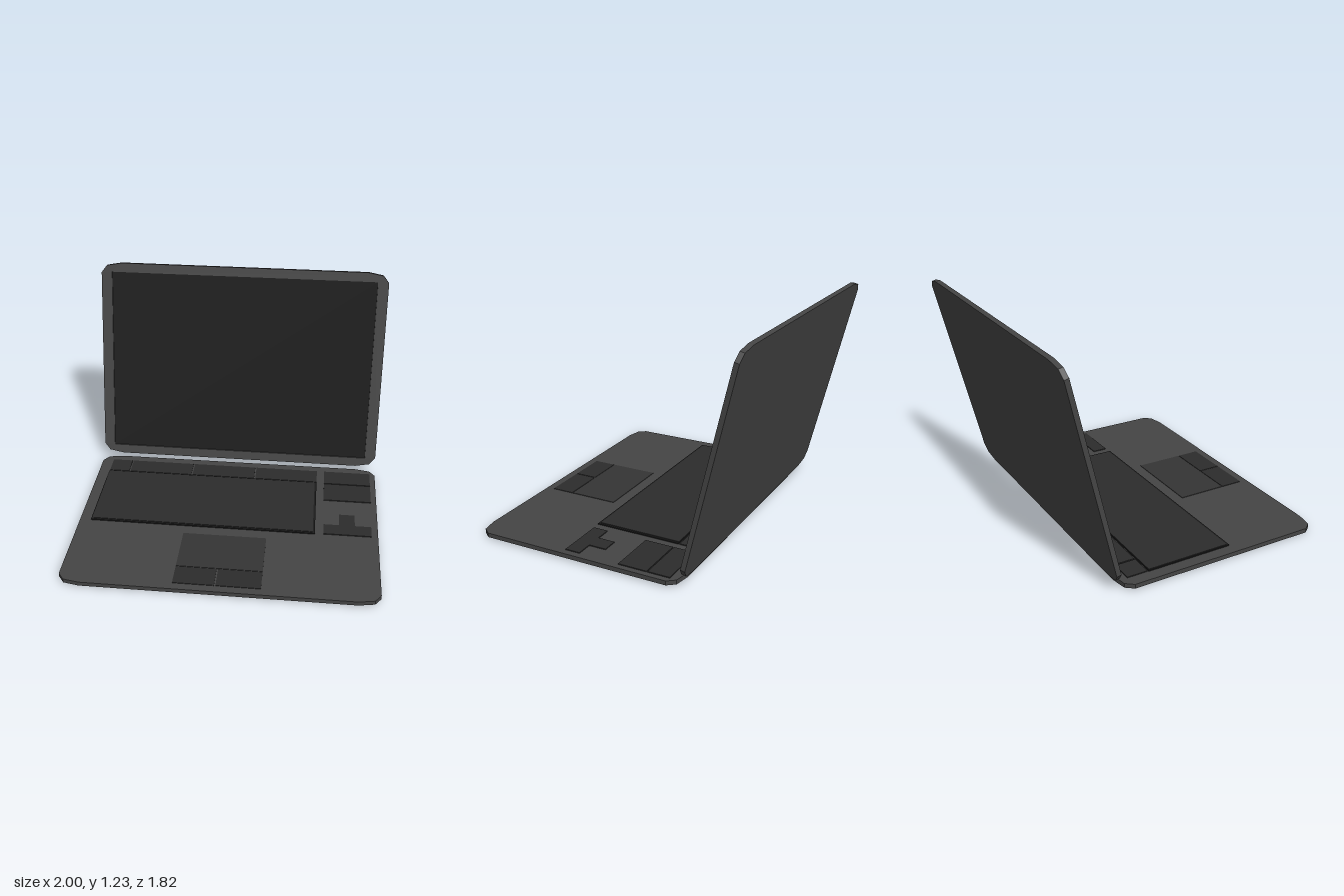
import * as THREE from 'three';

const mat = (color) => new THREE.MeshStandardMaterial({ color });
const shellMat = mat(0x444444);
const keyMat = mat(0x2c2c2c);
const gapMat = mat(0x1c1c1c);
const padMat = mat(0x343434);
const screenMat = mat(0x181818);

// Rectangle with faceted corners, two short cuts per corner
function panelShape(x0, x1, y0, y1) {
  const cx = (x0 + x1) / 2, cy = (y0 + y1) / 2;
  const hx = (x1 - x0) / 2, hy = (y1 - y0) / 2;
  const corner = [[hx, hy - 0.059], [hx - 0.033, hy - 0.016], [hx - 0.12, hy]];
  const pts = [];
  for (const [sx, sy] of [[1, 1], [-1, 1], [-1, -1], [1, -1]]) {
    const run = sx * sy > 0 ? corner : [...corner].reverse();
    for (const [x, y] of run) pts.push(new THREE.Vector2(cx + sx * x, cy + sy * y));
  }
  return new THREE.Shape(pts);
}

function extrude(shape, depth) {
  return new THREE.ExtrudeGeometry(shape, { depth, bevelEnabled: false });
}

function add(parent, name, geometry, material) {
  const mesh = new THREE.Mesh(geometry, material);
  mesh.name = name;
  parent.add(mesh);
  return mesh;
}

// Block given by its limits in x, z and y
function block(parent, name, [x0, x1], [z0, z1], [y0, y1], material) {
  const geo = new THREE.BoxGeometry(x1 - x0, y1 - y0, z1 - z0);
  geo.translate((x0 + x1) / 2, (y0 + y1) / 2, (z0 + z1) / 2);
  return add(parent, name, geo, material);
}

function buildBase() {
  const base = new THREE.Group();
  base.name = 'base';
  const plate = extrude(panelShape(-0.857, 0.857, -0.764, 0.43), 0.024);
  plate.rotateX(-Math.PI / 2).translate(0, 0.009, 0);
  add(base, 'basePlate', plate, shellMat);

  // Main keyboard: dark surround with the key field on top
  block(base, 'keyboardSurround', [-0.793, 0.5], [-0.255, 0.238], [0.02, 0.039], gapMat);
  block(base, 'keyboard', [-0.787, 0.488], [-0.252, 0.226], [0.02, 0.042], keyMat);

  // Function row, passing through the plate
  const through = [0, 0.038];
  for (const span of [[-0.79, -0.669], [-0.661, -0.277], [-0.269, 0.114], [0.122, 0.5]]) {
    block(base, 'functionKeys', span, [-0.377, -0.262], through, keyMat);
  }

  // Side key block
  for (const span of [[-0.377, -0.253], [-0.247, -0.085]]) {
    block(base, 'sideKeys', [0.545, 0.825], span, through, keyMat);
  }

  // Arrow keys: inverted T
  const t = [[0.548, -0.233], [0.82, -0.233], [0.82, -0.148], [0.727, -0.148],
    [0.727, -0.05], [0.638, -0.05], [0.638, -0.148], [0.548, -0.148]];
  const arrows = extrude(new THREE.Shape(t.map(([x, y]) => new THREE.Vector2(x, y))), 0.038);
  arrows.rotateX(-Math.PI / 2);
  add(base, 'arrowKeys', arrows, keyMat);

  // Touchpad with two buttons
  const padY = [0.02, 0.036];
  block(base, 'touchpad', [-0.242, 0.229], [0.306, 0.585], padY, padMat);
  block(base, 'touchpadButton', [-0.242, -0.019], [0.59, 0.719], padY, keyMat);
  block(base, 'touchpadButton', [-0.011, 0.229], [0.59, 0.719], padY, keyMat);
  return base;
}

function buildLid() {
  const lid = new THREE.Group();
  lid.name = 'lid';
  const height = 1.21, hw = 0.857;

  const back = extrude(panelShape(-hw, hw, 0, height), 0.014);
  back.translate(0, 0, -0.026);
  add(lid, 'lidBack', back, shellMat);

  // Bezel with the screen opening
  const frame = panelShape(-hw, hw, 0, height);
  const sx = 0.793, s0 = 0.054, s1 = height - 0.054;
  frame.holes.push(new THREE.Path([
    new THREE.Vector2(-sx, s0), new THREE.Vector2(-sx, s1),
    new THREE.Vector2(sx, s1), new THREE.Vector2(sx, s0),
  ]));
  const bezel = extrude(frame, 0.012);
  bezel.translate(0, 0, -0.012);
  add(lid, 'bezel', bezel, shellMat);

  // Screen, slightly recessed
  block(lid, 'screen', [-sx, sx], [-0.014, -0.009], [s0, s1], screenMat);

  lid.position.set(0, 0.056, -0.435);
  lid.rotation.x = -0.237;
  return lid;
}

export function createModel() {
  const model = new THREE.Group();
  model.name = 'laptop';
  const body = new THREE.Group();
  body.name = 'laptopBody';
  body.add(buildBase(), buildLid());
  // The whole laptop stands turned on its vertical axis
  body.rotation.y = 0.229;
  model.add(body);
  return model;
}
